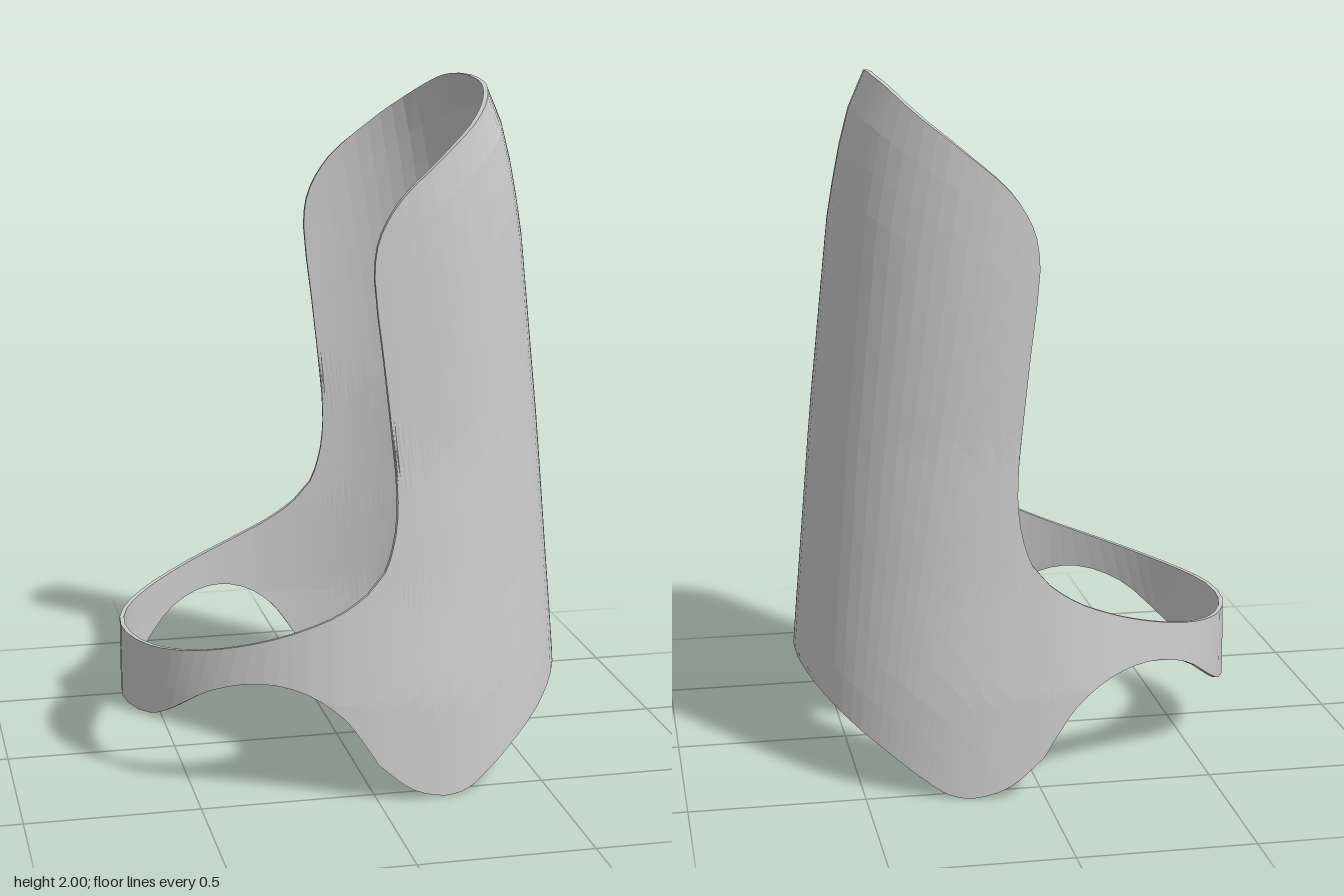
import * as THREE from 'three';

const WALL = 0.013;
const { clamp, lerp } = THREE.MathUtils;

// matched points of the lower and upper edge, from the front bar to the back: [x, y, x, y]
const EDGES = [
  [-0.655, 0.18, -0.655, 0.40], [-0.60, 0.20, -0.60, 0.405], [-0.55, 0.24, -0.52, 0.42],
  [-0.45, 0.32, -0.42, 0.445], [-0.32, 0.355, -0.30, 0.48], [-0.20, 0.33, -0.20, 0.515],
  [-0.10, 0.26, -0.09, 0.565], [-0.04, 0.18, 0.00, 0.64], [0.03, 0.09, 0.05, 0.74],
  [0.10, 0.035, 0.065, 0.87], [0.20, 0.005, 0.04, 1.15], [0.27, 0.015, 0.00, 1.50],
  [0.32, 0.045, 0.02, 1.62], [0.37, 0.08, 0.08, 1.715], [0.43, 0.125, 0.20, 1.82],
  [0.50, 0.175, 0.30, 1.90], [0.57, 0.23, 0.37, 1.965], [0.63, 0.28, 0.395, 1.99],
  [0.647, 0.292, 0.405, 2.00],
];

// piecewise linear lookup in [key, value] pairs
function lookup(table, k) {
  let i = 1;
  while (i < table.length - 1 && table[i][0] < k) i++;
  const [k0, v0] = table[i - 1], [k1, v1] = table[i];
  return lerp(v0, v1, clamp((k - k0) / (k1 - k0), 0, 1));
}

// plan section at height y: depth to the back, half width, squareness
const BACK = [[0, 0.665], [0.3, 0.646], [1, 0.585], [1.6, 0.52], [1.8, 0.48], [1.9, 0.452], [2, 0.405]];
const WIDTH = [[0, 0.567], [0.3, 0.555], [0.6, 0.525], [1, 0.497], [1.5, 0.487], [1.75, 0.48], [2, 0.465]];
const reach = (x, y) => (x < 0 ? 0.655 : lookup(BACK, y));
const power = (x, y) => (x < 0 ? 2 : lerp(2.3, 2.55, y / 2));

function angleAt(x, y) {
  const r = Math.min(1, Math.abs(x) / reach(x, y));
  return Math.acos(Math.sign(x) * Math.pow(r, power(x, y) / 2));
}

function wallPoint(q, y, inset, side) {
  const c = Math.cos(q), e = 2 / power(c, y);
  const x = Math.sign(c) * Math.pow(Math.abs(c), e) * (reach(c, y) - inset);
  const z = Math.pow(Math.max(0, Math.sin(q)), e) * (lookup(WIDTH, y) - inset);
  return [x, y, side * z];
}

// skins a row of closed cross-sections
function skin(sections, closed, name) {
  const n = sections[0].length, m = sections.length, index = [];
  for (let j = 0; j < (closed ? m : m - 1); j++) {
    for (let i = 0; i < n; i++) {
      const a = j * n + i, b = j * n + (i + 1) % n;
      const c = ((j + 1) % m) * n + i, d = ((j + 1) % m) * n + (i + 1) % n;
      index.push(a, c, d, a, d, b);
    }
  }
  const geo = new THREE.BufferGeometry();
  geo.setAttribute('position', new THREE.Float32BufferAttribute(sections.flat(2), 3));
  geo.setIndex(index);
  geo.computeVertexNormals();
  const mesh = new THREE.Mesh(geo, new THREE.MeshStandardMaterial({
    color: 0xcccccc, flatShading: true, side: THREE.DoubleSide,
  }));
  mesh.name = name;
  return mesh;
}

// wrapped wall: tall curved back with a narrow band closing the loop
function buildShell() {
  const edge = (o) => new THREE.CatmullRomCurve3(
    EDGES.map((p) => new THREE.Vector3(angleAt(p[o], p[o + 1]), p[o + 1], 0)), false, 'centripetal');
  const low = edge(0), high = edge(2);
  const N = (EDGES.length - 1) * 3, ROWS = 16;
  const column = (k, side) => {
    const b = low.getPoint(k / N), t = high.getPoint(k / N);
    const at = (i, inset) => wallPoint(lerp(b.x, t.x, i / ROWS), lerp(b.y, t.y, i / ROWS), inset, side);
    const loop = [];
    for (let i = 0; i <= ROWS; i++) loop.push(at(i, 0));
    for (let i = ROWS; i >= 0; i--) loop.push(at(i, WALL));
    return loop;
  };
  const sections = [];
  for (let k = 0; k <= N; k++) sections.push(column(k, 1));
  for (let k = N - 1; k > 0; k--) sections.push(column(k, -1));
  return skin(sections, true, 'shell');
}

// part of the sloping sole along the lower edge, between an inner cut and the wall
function buildSole(x0, x1, zInner, side, name) {
  const STEPS = 10, sections = [];
  for (let k = 0; k <= STEPS; k++) {
    const x = lerp(x0, x1, k / STEPS);
    const y = lookup(EDGES, x) + 0.002;
    const zWall = Math.max(zInner, wallPoint(angleAt(x, y), y, WALL / 2, 1)[2]);
    const loop = [[x, y, zInner], [x, y, zWall], [x, y + WALL, zWall], [x, y + WALL, zInner]];
    if (side < 0) loop.reverse();
    sections.push(loop.map(([px, py, pz]) => [px, py, pz * side]));
  }
  return skin(sections, false, name);
}

export function createModel() {
  const group = new THREE.Group();
  group.name = 'guard';
  group.add(buildShell());
  // stepped opening in the sole, narrowing toward the back
  for (const side of [1, -1]) {
    const label = side > 0 ? 'left' : 'right';
    group.add(buildSole(side > 0 ? 0.03 : 0.28, 0.375, 0.285, side, label + 'SoleLedge'));
    group.add(buildSole(0.375, 0.49, 0.13, side, label + 'SoleStep'));
    group.add(buildSole(0.49, 0.643, 0, side, label + 'SoleBack'));
  }
  return group;
}
